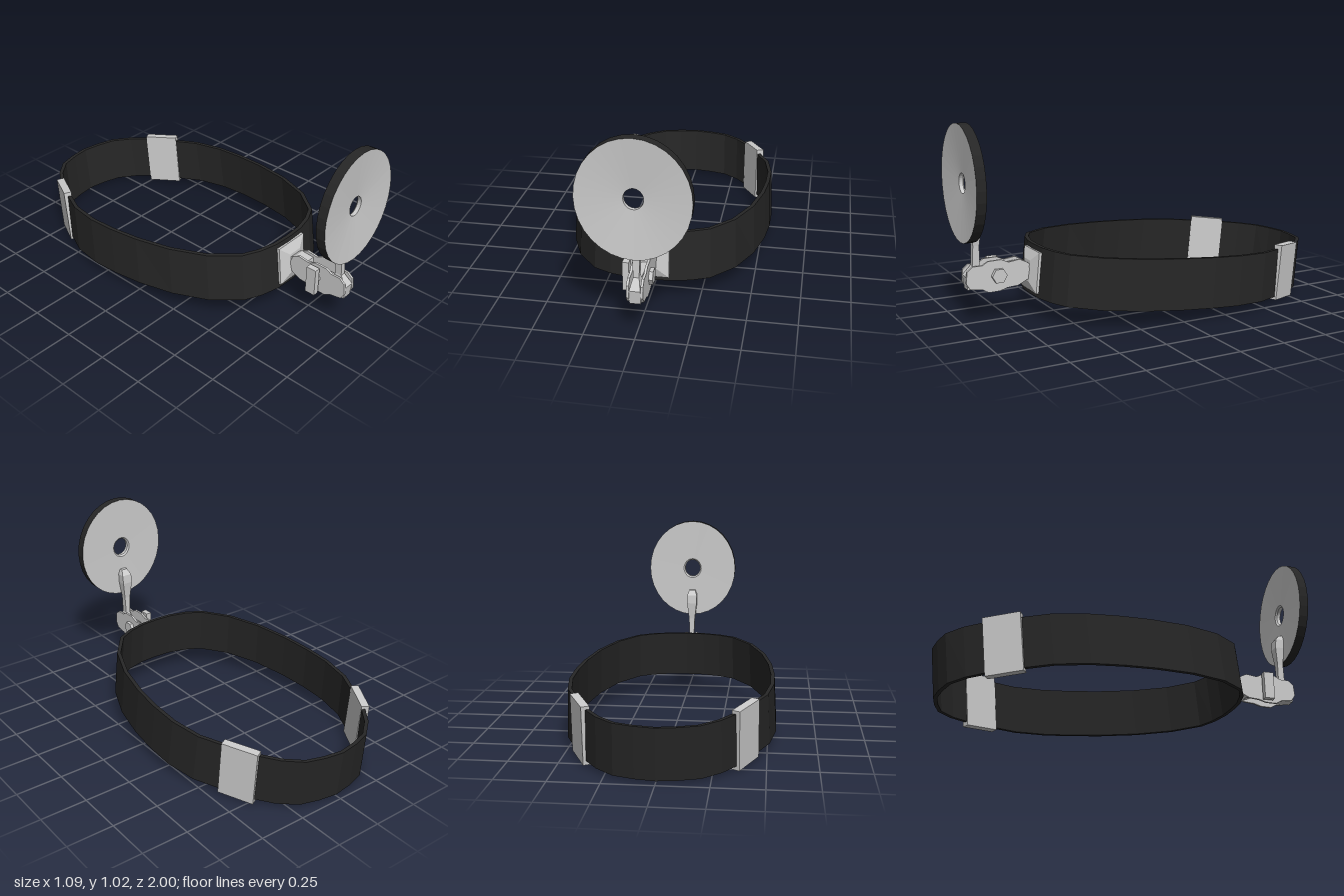
import * as THREE from 'three';

const metal = new THREE.MeshStandardMaterial({ name: 'light metal', color: 0xcccccc, flatShading: true });
const dark = new THREE.MeshStandardMaterial({ name: 'dark strap', color: 0x262626, flatShading: true });

function add(parent, name, geometry, material, x = 0, y = 0, z = 0) {
  const mesh = new THREE.Mesh(geometry, material);
  mesh.name = name;
  mesh.position.set(x, y, z);
  parent.add(mesh);
  return mesh;
}

// Skins a list of equal-sized cross-sections; closed joins last to first, otherwise quad ends are capped
function loft(sections, closed) {
  const n = sections[0].length, m = sections.length, index = [];
  for (let i = 0; i < (closed ? m : m - 1); i++) {
    const j = (i + 1) % m;
    for (let k = 0; k < n; k++) {
      const l = (k + 1) % n;
      const a = i * n + k, b = i * n + l, c = j * n + l, d = j * n + k;
      index.push(a, b, c, a, c, d);
    }
  }
  if (!closed) {
    const e = (m - 1) * n;
    index.push(0, 2, 1, 0, 3, 2, e, e + 1, e + 2, e, e + 2, e + 3);
  }
  const g = new THREE.BufferGeometry();
  g.setAttribute('position', new THREE.Float32BufferAttribute(sections.flat(2), 3));
  g.setIndex(index);
  g.computeVertexNormals();
  return g;
}

// Egg-shaped tilted strap, flaring slightly toward its lower edge
function strapGeometry() {
  const half = [[0, -1], [0.1, -0.985], [0.2, -0.955], [0.29, -0.88], [0.36, -0.785], [0.44, -0.63],
    [0.5, -0.5], [0.53, -0.33], [0.53, -0.17], [0.515, 0], [0.475, 0.2], [0.4, 0.39],
    [0.29, 0.53], [0.2, 0.575], [0.1, 0.6], [0, 0.605]];
  const ring = [...half, ...half.slice(1, -1).reverse().map(([x, z]) => [-x, z])];
  const n = ring.length, t = 0.02;
  return loft(ring.map(([x, z], i) => {
    const p = ring[(i + n - 1) % n], q = ring[(i + 1) % n];
    const dx = q[0] - p[0], dz = q[1] - p[1], len = Math.hypot(dx, dz);
    const ix = x - dz / len * t, iz = z + dx / len * t;
    const top = 0.37 - (0.605 - z) * 0.0625, low = top - 0.26;
    return [[x * 1.025, low, z + 0.028], [x, top, z], [ix, top, iz], [ix * 1.025, low, iz + 0.028]];
  }), true);
}

// Rectangular section at a height: half width, back z, front z
const rect = ([y, w, back, front]) => [[-w, y, front], [w, y, front], [w, y, back], [-w, y, back]];

// Plate in the side plane, from [z, y] points, centred on x = 0
function sidePlate(points, thickness) {
  const shape = new THREE.Shape(points.map(([z, y]) => new THREE.Vector2(-z, y)));
  const g = new THREE.ExtrudeGeometry(shape, { depth: thickness, bevelEnabled: false });
  return g.translate(0, 0, -thickness / 2).rotateY(Math.PI / 2);
}

export function createModel() {
  const model = new THREE.Group();
  model.name = 'headbandMirror';

  add(model, 'headband', strapGeometry(), dark);

  // Strap clasps on both rear sides
  for (const s of [1, -1]) {
    const clasp = new THREE.Group();
    clasp.name = s > 0 ? 'leftClasp' : 'rightClasp';
    clasp.position.set(s * 0.398, 0.158, -0.695);
    clasp.rotation.x = -0.1;
    add(clasp, 'claspSleeve', new THREE.BoxGeometry(0.042, 0.3, 0.19), metal).rotation.y = s * 0.478;
    model.add(clasp);
  }

  // Pyramid-shaped mounting plate on the strap front
  const mount = new THREE.Group();
  mount.name = 'mount';
  mount.position.set(0, 0.238, 0.618);
  mount.rotation.x = -0.1;
  add(mount, 'mountPlate', new THREE.BoxGeometry(0.2, 0.215, 0.02), metal);
  const square = (w, h, z) => [[-w, -h, z], [w, -h, z], [w, h, z], [-w, h, z]];
  add(mount, 'mountBoss', loft([square(0.1, 0.107, 0.01), square(0.04, 0.055, 0.032)], false), metal);
  model.add(mount);

  // Hinge: knuckle, two wavy cheek plates, bolt, nut and wing
  const hinge = new THREE.Group();
  hinge.name = 'hinge';
  add(hinge, 'rearKnuckle', sidePlate([[0.63, 0.21], [0.63, 0.27], [0.67, 0.295], [0.74, 0.29],
    [0.75, 0.2], [0.7, 0.18]], 0.07), metal);
  add(hinge, 'tongue', sidePlate([[0.7, 0.2], [0.7, 0.27], [0.92, 0.27], [0.92, 0.2]], 0.03), metal);
  const cheek = [[0.985, 0.215], [0.98, 0.275], [0.95, 0.3], [0.9, 0.3], [0.87, 0.318], [0.8, 0.32],
    [0.76, 0.302], [0.7, 0.31], [0.66, 0.29], [0.645, 0.25], [0.66, 0.2], [0.71, 0.175],
    [0.77, 0.17], [0.81, 0.158], [0.87, 0.157], [0.9, 0.175], [0.965, 0.185]];
  for (const s of [1, -1]) add(hinge, 'cheekPlate', sidePlate(cheek, 0.012), metal, s * 0.034);
  const rod = (r, l, sides) => new THREE.CylinderGeometry(r, r, l, sides).rotateZ(Math.PI / 2);
  add(hinge, 'bolt', rod(0.022, 0.12, 12), metal, -0.01, 0.24, 0.815);
  add(hinge, 'hexNut', rod(0.04, 0.02, 6), metal, 0.05, 0.24, 0.815);
  add(hinge, 'wing', new THREE.BoxGeometry(0.032, 0.15, 0.056), metal, -0.073, 0.24, 0.812);
  model.add(hinge);

  // Arm rising from the hinge to a paddle behind the mirror
  const arm = [[0.18, 0.027, 0.9, 0.975], [0.25, 0.027, 0.9, 0.983], [0.3, 0.014, 0.905, 0.942],
    [0.4, 0.018, 0.905, 0.938], [0.5, 0.03, 0.895, 0.945], [0.55, 0.03, 0.9, 0.948], [0.58, 0.018, 0.925, 0.948]];
  add(model, 'arm', loft(arm.map(rect), false), metal);

  // Oval dished mirror with a central sight hole
  const mirror = new THREE.Group();
  mirror.name = 'mirror';
  mirror.position.set(0, 0.718, 0.97);
  mirror.scale.set(1, 1.1, 1);
  const lathe = (pts) => new THREE.LatheGeometry(pts.map((p) => new THREE.Vector2(...p)), 32).rotateX(Math.PI / 2);
  add(mirror, 'mirrorRim', lathe([[0.27, -0.025], [0.27, 0.025]]), dark);
  add(mirror, 'mirrorFace', lathe([[0.27, 0.025], [0.047, 0.006]]), metal);
  add(mirror, 'mirrorBack', lathe([[0.055, -0.022], [0.27, -0.025]]), metal);
  add(mirror, 'sightHole', lathe([[0.047, 0.006], [0.047, -0.014], [0.055, -0.022]]), metal);
  model.add(mirror);

  return model;
}
